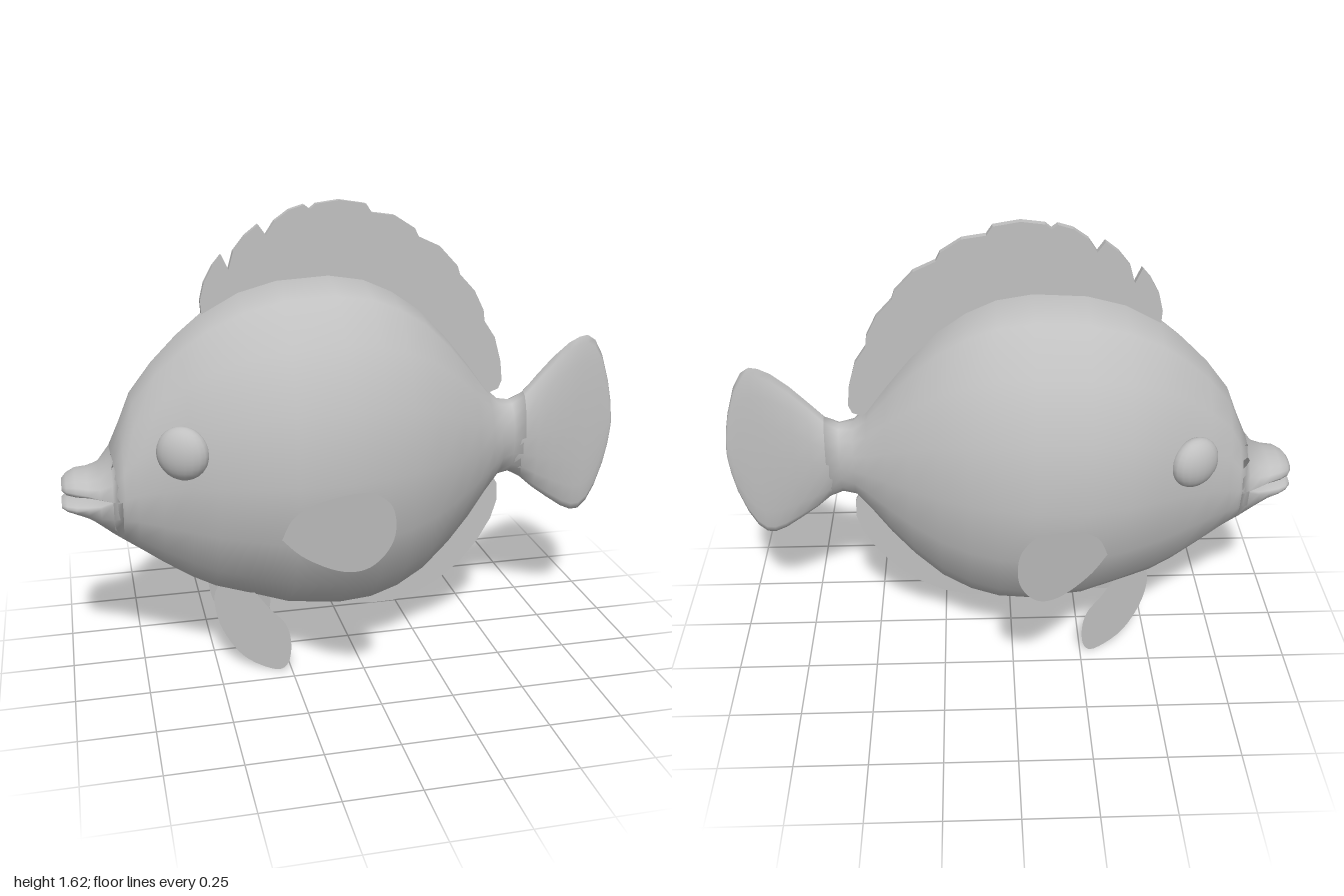
import * as THREE from 'three';

const grey = new THREE.MeshStandardMaterial({ color: 0xc0c0c0, side: THREE.DoubleSide });
grey.name = 'plain grey';

function named(name, geometry) {
  const mesh = new THREE.Mesh(geometry, grey);
  mesh.name = name;
  return mesh;
}

// Skin over elliptical sections: [x, top, bottom, halfWidth, heightOfWidestPoint]
function loft(stations, sides = 16) {
  const pos = [], index = [];
  const mid = (s) => s[4] ?? (s[1] + s[2]) / 2;
  const cap = (s) => [s[0], mid(s), mid(s), 0, mid(s)];
  const rings = [cap(stations[0]), ...stations, cap(stations[stations.length - 1])];
  rings.forEach((s, i) => {
    const m = mid(s);
    for (let j = 0; j < sides; j++) {
      const a = (j / sides) * Math.PI * 2, c = Math.cos(a);
      pos.push(s[0], m + c * (c > 0 ? s[1] - m : m - s[2]), s[3] * Math.sin(a));
      if (i === rings.length - 1) continue;
      const k = (j + 1) % sides, p = i * sides, q = p + sides;
      index.push(p + j, p + k, q + j, p + k, q + k, q + j);
    }
  });
  const g = new THREE.BufferGeometry();
  g.setAttribute('position', new THREE.Float32BufferAttribute(pos, 3));
  g.setIndex(index);
  g.computeVertexNormals();
  return g;
}

const points = (list) => list.map(([x, y]) => new THREE.Vector2(x, y));

// Median fin: thin plate centred on z = 0
function plateFin(name, outline, thickness) {
  const g = new THREE.ExtrudeGeometry(new THREE.Shape(points(outline)), { depth: thickness, bevelEnabled: false });
  g.translate(0, 0, -thickness / 2);
  return named(name, g);
}

// Paired fin: smooth flat outline laid on a plane where z follows x
function sheetFin(name, outline, zAt) {
  const shape = new THREE.Shape();
  shape.moveTo(...outline[0]);
  shape.splineThru(points(outline.slice(1)));
  const g = new THREE.ShapeGeometry(shape, 4);
  const p = g.attributes.position;
  for (let i = 0; i < p.count; i++) p.setZ(i, zAt(p.getX(i)));
  g.computeVertexNormals();
  return named(name, g);
}

export function createModel() {
  const fish = new THREE.Group();
  fish.name = 'fish';

  // Body running into the tail stalk
  fish.add(named('body', loft([
    [-0.83, 0.81, 0.505, 0.155, 0.665], [-0.79, 0.9, 0.475, 0.175, 0.68], [-0.75, 1.0, 0.445, 0.195, 0.7],
    [-0.67, 1.105, 0.385, 0.235, 0.72], [-0.58, 1.195, 0.325, 0.285, 0.74], [-0.5, 1.26, 0.285, 0.33, 0.75],
    [-0.38, 1.325, 0.25, 0.385, 0.76], [-0.25, 1.36, 0.205, 0.412, 0.76], [-0.07, 1.37, 0.18, 0.41, 0.76],
    [0.05, 1.35, 0.185, 0.385, 0.76], [0.15, 1.305, 0.215, 0.355, 0.76], [0.25, 1.235, 0.27, 0.31, 0.76],
    [0.35, 1.13, 0.36, 0.25, 0.76], [0.43, 1.03, 0.45, 0.195, 0.76], [0.5, 0.935, 0.545, 0.143, 0.755],
    [0.55, 0.89, 0.605, 0.108, 0.75], [0.6, 0.882, 0.61, 0.075, 0.75], [0.65, 0.91, 0.582, 0.055, 0.75],
  ])));

  // Fan-shaped tail, thinning toward its rear edge
  fish.add(named('tailFin', loft([
    [0.61, 0.882, 0.608, 0.07], [0.65, 0.91, 0.582, 0.055], [0.7, 0.967, 0.537, 0.048],
    [0.76, 1.03, 0.492, 0.04], [0.82, 1.08, 0.45, 0.033], [0.86, 1.1, 0.432, 0.027],
    [0.89, 1.105, 0.434, 0.023], [0.92, 1.085, 0.462, 0.02], [0.95, 1.03, 0.52, 0.016],
    [0.98, 0.93, 0.61, 0.012], [0.994, 0.86, 0.68, 0.01], [1.0, 0.8, 0.74, 0.008],
  ])));

  // Lips, parted by the mouth slit
  fish.add(named('upperLip', loft([
    [-0.8, 0.875, 0.62, 0.17, 0.675], [-0.83, 0.81, 0.66, 0.155, 0.668], [-0.87, 0.755, 0.662, 0.138, 0.675],
    [-0.91, 0.738, 0.66, 0.122, 0.685], [-0.95, 0.737, 0.658, 0.105, 0.69], [-0.98, 0.722, 0.664, 0.08, 0.69],
    [-0.995, 0.705, 0.675, 0.05, 0.69],
  ].reverse())));
  fish.add(named('lowerLip', loft([
    [-0.8, 0.7, 0.483, 0.17, 0.67], [-0.83, 0.672, 0.505, 0.153, 0.66], [-0.87, 0.652, 0.54, 0.134, 0.64],
    [-0.91, 0.65, 0.573, 0.117, 0.632], [-0.95, 0.65, 0.594, 0.1, 0.628], [-0.98, 0.647, 0.604, 0.078, 0.628],
    [-0.998, 0.638, 0.615, 0.05, 0.627],
  ].reverse())));

  // Scalloped back fin
  fish.add(plateFin('dorsalFin', [
    [-0.5, 1.22], [-0.505, 1.3], [-0.49, 1.36], [-0.46, 1.415], [-0.43, 1.45], [-0.407, 1.4], [-0.39, 1.46],
    [-0.35, 1.51], [-0.305, 1.545], [-0.28, 1.51], [-0.25, 1.555], [-0.2, 1.59], [-0.15, 1.605], [-0.13, 1.59],
    [-0.11, 1.607], [-0.03, 1.617], [0.06, 1.602], [0.08, 1.572], [0.16, 1.56], [0.23, 1.515], [0.245, 1.485],
    [0.32, 1.45], [0.385, 1.38], [0.395, 1.35], [0.45, 1.29], [0.485, 1.22], [0.49, 1.18], [0.53, 1.12],
    [0.555, 1.03], [0.562, 0.96], [0.55, 0.93], [0.51, 0.915], [0.45, 0.9], [0.3, 1.08], [0, 1.27], [-0.3, 1.27],
  ], 0.026));

  // Rounded fin under the rear belly
  fish.add(plateFin('analFin', [
    [-0.1, 0.2], [-0.06, 0.17], [0, 0.145], [0.08, 0.133], [0.17, 0.135], [0.25, 0.155], [0.34, 0.2],
    [0.42, 0.262], [0.49, 0.345], [0.54, 0.43], [0.562, 0.5], [0.56, 0.565], [0.54, 0.6], [0.48, 0.6],
    [0.35, 0.45], [0.15, 0.3],
  ], 0.022));

  // Left side features, then mirrored
  for (const [name, side] of [['left', 1], ['right', -1]]) {
    const half = new THREE.Group();
    half.name = name + 'SideParts';
    half.scale.z = side;

    const eye = named('eye', new THREE.SphereGeometry(0.09, 20, 14));
    eye.position.set(-0.605, 0.86, 0.262);
    eye.rotation.y = -0.5;
    eye.scale.z = 0.6;
    half.add(eye);

    half.add(sheetFin('pectoralFin', [
      [-0.31, 0.585], [-0.275, 0.67], [-0.2, 0.74], [-0.08, 0.8], [-0.02, 0.785], [0, 0.735], [-0.005, 0.66],
      [-0.04, 0.585], [-0.09, 0.535], [-0.16, 0.518], [-0.25, 0.54], [-0.31, 0.585],
    ], (x) => 0.65 + 0.82 * x));

    half.add(sheetFin('pelvicFin', [
      [-0.48, 0.32], [-0.503, 0.25], [-0.48, 0.14], [-0.41, 0.04], [-0.31, 0.002], [-0.265, 0.03],
      [-0.253, 0.11], [-0.27, 0.185], [-0.32, 0.235], [-0.39, 0.31], [-0.48, 0.32],
    ], (x) => 0.2 + 0.5 * (x + 0.28)));
    fish.add(half);
  }
  return fish;
}
